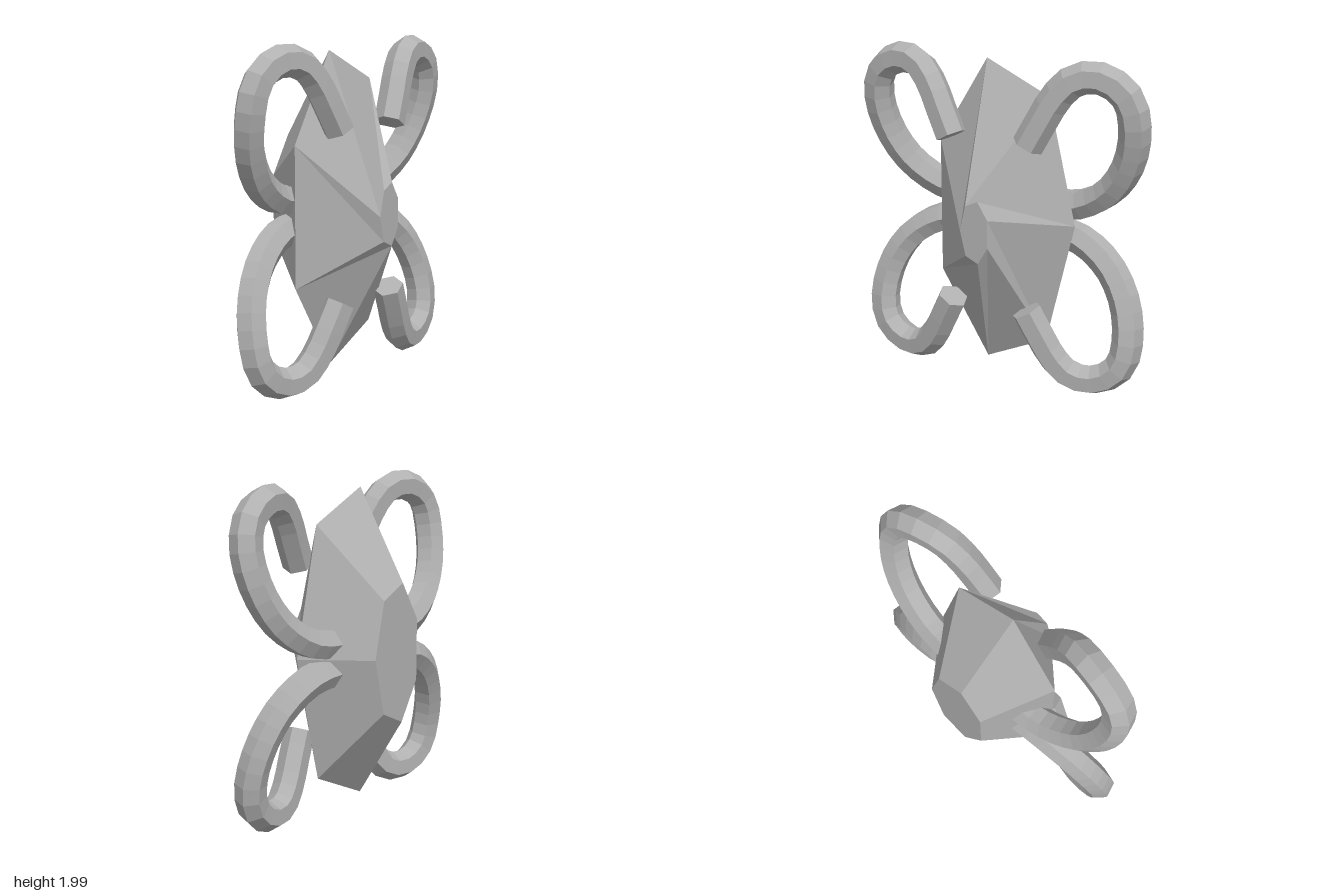
import * as THREE from 'three';

const N = 7;

// Ring of seven points on an ellipse; turn is a fraction of one step
function ring(scale, z, turn) {
  const pts = [];
  for (let k = 0; k < N; k++) {
    const a = ((k + turn) / N) * Math.PI * 2;
    pts.push([0.466 * scale * Math.cos(a), 1 + 0.96 * scale * Math.sin(a), z]);
  }
  return pts;
}

// Faceted body: girdle, flat back, small twisted front facet
function gemGeometry() {
  const points = [...ring(1, 0, 0), ...ring(0.2, 0.36, 0.5), ...ring(0.44, -0.36, 0)];
  const index = [];
  for (let k = 0; k < N; k++) {
    const n = (k + 1) % N;
    const F = N, B = 2 * N;
    index.push(k, n, F + n, k, F + n, F + k); // twisted front facets
    index.push(k, B + k, B + n, k, B + n, n); // back facets
    if (k > 0 && n > 0) index.push(F, F + k, F + n, B, B + n, B + k); // flat caps
  }
  const geo = new THREE.BufferGeometry();
  geo.setAttribute('position', new THREE.Float32BufferAttribute(points.flat(), 3));
  geo.setIndex(index);
  geo.computeVertexNormals();
  return geo;
}

// Centre line of a curled arm, for the upper +x side
const ARM = [
  [0.2, 1.08, -0.115], [0.42, 1.097, -0.1], [0.54, 1.145, -0.085], [0.68, 1.255, -0.055],
  [0.785, 1.43, -0.015], [0.825, 1.64, 0.03], [0.795, 1.79, 0.05], [0.71, 1.875, 0.065],
  [0.6, 1.908, 0.083], [0.49, 1.882, 0.11], [0.4, 1.79, 0.135], [0.32, 1.645, 0.16],
  [0.245, 1.5, 0.18],
];

// Six-sided tube with a closed tip
function armGeometry(sx, sy) {
  const path = new THREE.CatmullRomCurve3(
    ARM.map(([x, y, z]) => new THREE.Vector3(sx * x, 1 + sy * (y - 1), z)));
  const sides = 6, steps = 22;
  const geo = new THREE.TubeGeometry(path, steps, 0.092, sides, false);
  const index = Array.from(geo.index.array);
  const tip = steps * (sides + 1);
  for (let k = 1; k < sides - 1; k++) index.push(tip, tip + k + 1, tip + k);
  geo.setIndex(index);
  return geo;
}

export function createModel() {
  const model = new THREE.Group();
  model.name = 'gemWithCurledArms';
  const stone = new THREE.MeshStandardMaterial({ color: 0xb0b0b0, flatShading: true });
  stone.name = 'grey stone';

  const add = (geo, name) => {
    const mesh = new THREE.Mesh(geo, stone);
    mesh.name = name;
    model.add(mesh);
  };

  add(gemGeometry(), 'gemBody');
  for (const [sx, side] of [[1, 'Left'], [-1, 'Right']]) {
    for (const [sy, level] of [[1, 'upper'], [-1, 'lower']]) {
      add(armGeometry(sx, sy), level + side + 'Arm');
    }
  }
  return model;
}
